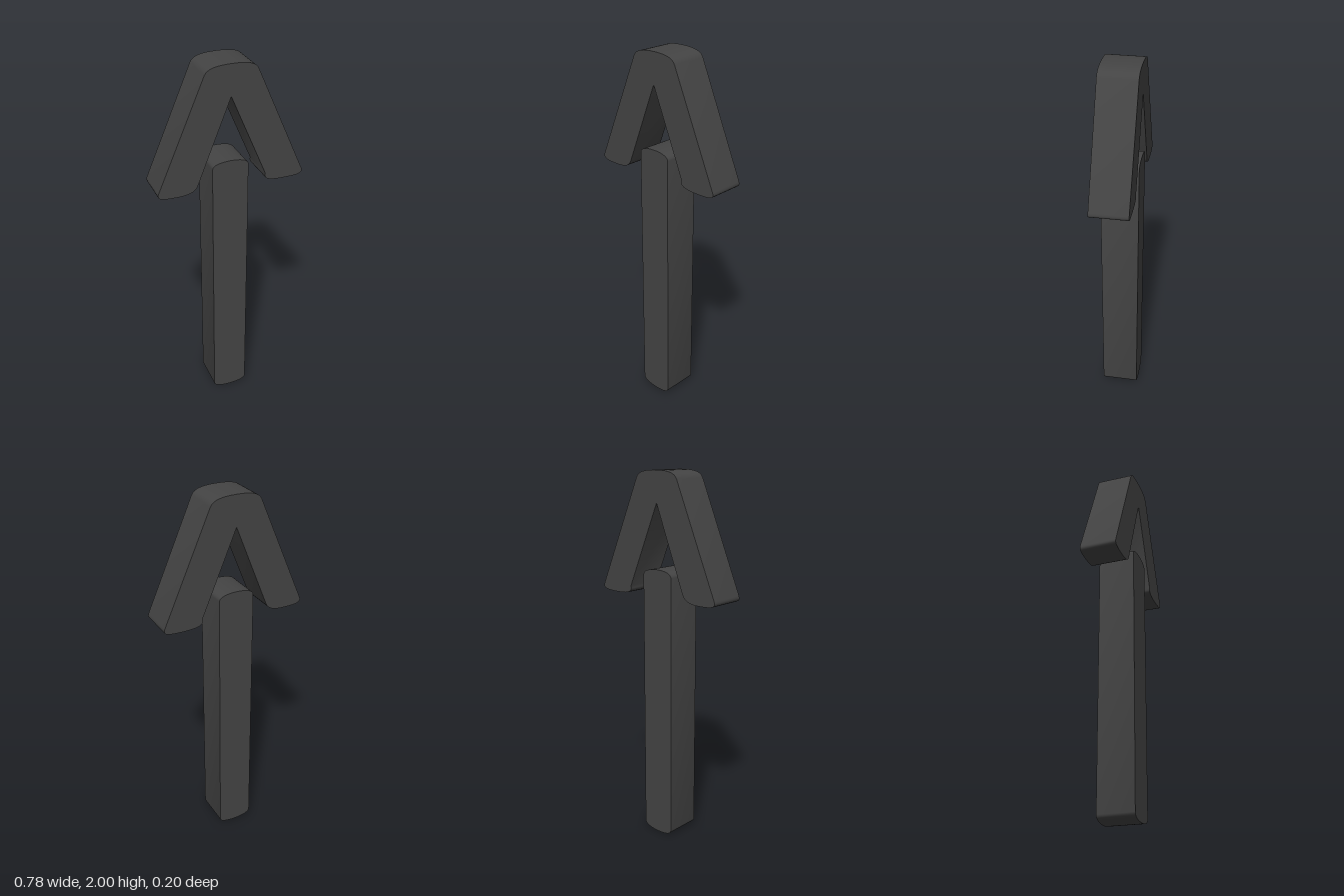
import * as THREE from 'three';
import { toCreasedNormals } from 'three/addons/utils/BufferGeometryUtils.js';

const DEPTH = 0.2;

// Extrude a front outline to a slab centred on z, smooth round the rim
function slab(name, shape, material) {
  const extruded = new THREE.ExtrudeGeometry(shape, { depth: DEPTH, bevelEnabled: false, curveSegments: 8 });
  extruded.translate(0, 0, -DEPTH / 2);
  const mesh = new THREE.Mesh(toCreasedNormals(extruded, 0.7), material);
  mesh.name = name;
  return mesh;
}

// Upright bar with gently bowed, round-cornered ends
function shaftShape(cx, hw, top) {
  const s = new THREE.Shape();
  s.moveTo(cx - hw, 0.035);
  s.bezierCurveTo(cx - hw, 0.01, cx - 0.05, 0, cx, 0);
  s.bezierCurveTo(cx + 0.05, 0, cx + hw, 0.01, cx + hw, 0.035);
  s.lineTo(cx + hw, top - 0.035);
  s.bezierCurveTo(cx + hw, top - 0.01, cx + 0.05, top, cx, top);
  s.bezierCurveTo(cx - 0.05, top, cx - hw, top - 0.01, cx - hw, top - 0.035);
  return s;
}

// Open chevron with a bowed crown and round feet
function headShape() {
  const s = new THREE.Shape();
  s.moveTo(-0.008, 1.838);
  // left leg and foot
  s.lineTo(-0.185, 1.393);
  s.bezierCurveTo(-0.2, 1.356, -0.24, 1.348, -0.295, 1.348);
  s.bezierCurveTo(-0.37, 1.348, -0.405, 1.352, -0.391, 1.385);
  // crown
  s.lineTo(-0.143, 1.96);
  s.bezierCurveTo(-0.128, 1.99, -0.085, 2, -0.005, 2);
  s.bezierCurveTo(0.075, 2, 0.118, 1.99, 0.132, 1.96);
  // right leg and foot
  s.lineTo(0.388, 1.385);
  s.bezierCurveTo(0.402, 1.352, 0.367, 1.348, 0.292, 1.348);
  s.bezierCurveTo(0.23, 1.348, 0.168, 1.35, 0.182, 1.393);
  s.closePath();
  return s;
}

export function createModel() {
  const group = new THREE.Group();
  group.name = 'arrow';
  const dark = new THREE.MeshStandardMaterial({ color: 0x444444 });
  group.add(
    slab('shaft', shaftShape(-0.01, 0.097, 1.5), dark),
    slab('arrowhead', headShape(), dark)
  );
  return group;
}
